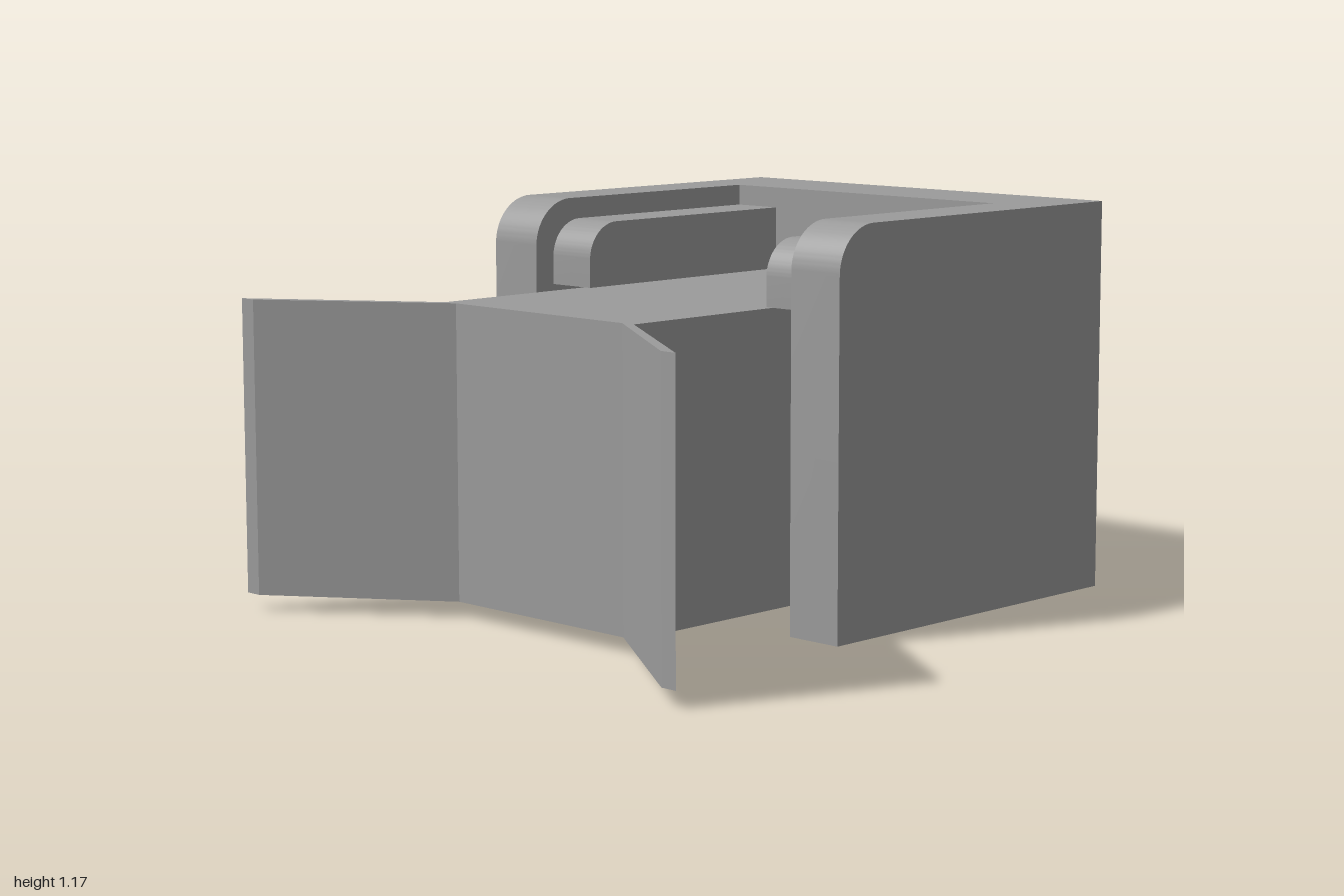
import * as THREE from 'three';
import { toCreasedNormals } from 'three/addons/utils/BufferGeometryUtils.js';

const material = new THREE.MeshStandardMaterial({ color: 0x9b9b9b });

function part(name, geometry) {
  const mesh = new THREE.Mesh(geometry, material);
  mesh.name = name;
  return mesh;
}

// Box given by its lower and upper limits
function block(name, [x0, x1], [y0, y1], [z0, z1]) {
  const geometry = new THREE.BoxGeometry(x1 - x0, y1 - y0, z1 - z0);
  geometry.translate((x0 + x1) / 2, (y0 + y1) / 2, (z0 + z1) / 2);
  return part(name, geometry);
}

// Side slab with a rounded upper front edge, spanning x0..x1
function roundedSlab(name, [x0, x1], [y0, y1], [z0, z1], r) {
  const profile = new THREE.Shape();
  profile.moveTo(z0, y0);
  profile.lineTo(z1, y0);
  profile.lineTo(z1, y1 - r);
  profile.absarc(z1 - r, y1 - r, r, 0, Math.PI / 2, false);
  profile.lineTo(z0, y1);
  profile.closePath();
  const geometry = new THREE.ExtrudeGeometry(profile, {
    depth: x1 - x0, bevelEnabled: false, curveSegments: 16,
  });
  geometry.rotateY(-Math.PI / 2).translate(x1, 0, 0);
  return part(name, toCreasedNormals(geometry, Math.PI / 6));
}

// Thin upright panel splayed out from a front corner of the seat
function flap(name, side) {
  const plan = new THREE.Shape(
    [[0.34, 0.655], [0.385, 0.655], [0.885, 1], [0.833, 1]]
      .map(([x, z]) => new THREE.Vector2(side * x, -z)));
  const geometry = new THREE.ExtrudeGeometry(plan, { depth: 0.87, bevelEnabled: false });
  geometry.rotateX(-Math.PI / 2).translate(0, 0.047, 0);
  return part(name, geometry);
}

export function createModel() {
  const model = new THREE.Group();
  model.name = 'armchair';

  // Back panel and seat block
  model.add(block('back', [-0.52, 0.52], [0, 1.173], [-1, -0.708]));
  model.add(block('seat', [-0.385, 0.385], [0.047, 0.917], [-0.708, 0.655]));

  // Arms, arm pads and front flaps on both sides
  for (const [label, side] of [['left', 1], ['right', -1]]) {
    const span = (a, b) => (side > 0 ? [a, b] : [-b, -a]);
    model.add(roundedSlab(`${label}Arm`, span(0.52, 0.7), [0, 1.173], [-1, 0.175], 0.14));
    model.add(roundedSlab(`${label}ArmPad`, span(0.36, 0.52), [0.917, 1.11], [-0.708, 0.105], 0.11));
    model.add(flap(`${label}Flap`, side));
  }
  return model;
}
